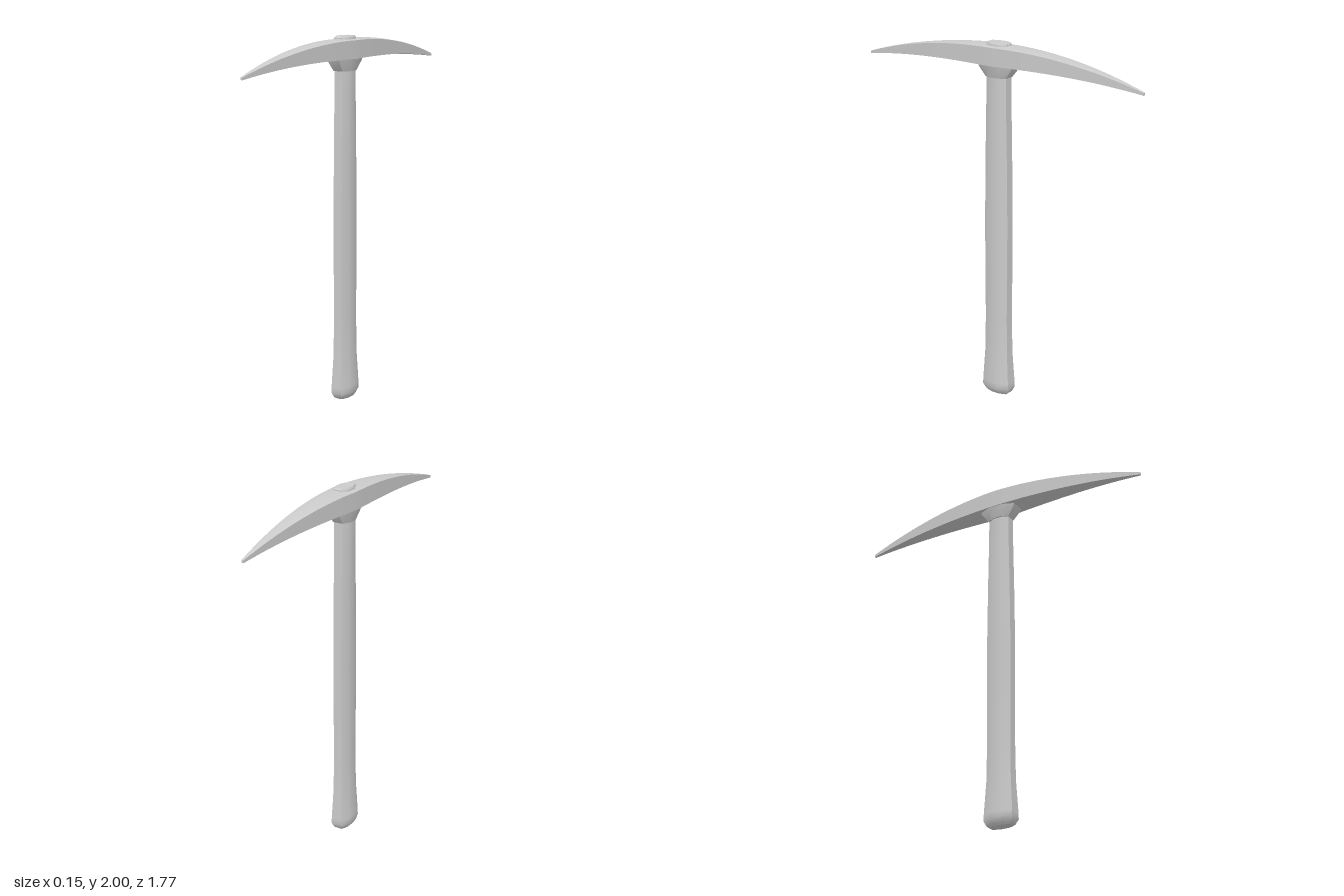
import * as THREE from 'three';
import { toCreasedNormals } from 'three/addons/utils/BufferGeometryUtils.js';

const material = new THREE.MeshStandardMaterial({ color: 0xcccccc });

// Skin a row of rings (counterclockwise about the direction of travel) and cap both ends
function loft(name, rings, creaseDegrees) {
  const n = rings[0].length, index = [];
  for (let i = 0; i < rings.length - 1; i++) {
    for (let j = 0; j < n; j++) {
      const a = i * n + j, b = i * n + (j + 1) % n;
      index.push(a, b, b + n, a, b + n, a + n);
    }
  }
  const last = (rings.length - 1) * n;
  for (let j = 1; j < n - 1; j++) {
    index.push(0, j + 1, j, last, last + j, last + j + 1);
  }
  const geometry = new THREE.BufferGeometry();
  geometry.setAttribute('position', new THREE.Float32BufferAttribute(rings.flat(2), 3));
  geometry.setIndex(index);
  const mesh = new THREE.Mesh(toCreasedNormals(geometry, THREE.MathUtils.degToRad(creaseDegrees)), material);
  mesh.name = name;
  return mesh;
}

// Long octagon as [z, x] factors of the half depth and half width
const octagon = [[1, -0.58], [1, 0.58], [0.4, 1], [-0.4, 1], [-1, 0.58], [-1, -0.58], [-0.4, -1], [0.4, -1]];
const upright = (name, levels, crease) => loft(name,
  levels.map(([y, hx, hz]) => octagon.map(([u, v]) => [v * hx, y, u * hz])), crease);

export function createModel() {
  const model = new THREE.Group();
  model.name = 'pickaxe';

  // Handle: flared, bevelled foot and a slight swell at mid height [y, half width, half depth]
  model.add(upright('handle', [
    [0, 0.034, 0.064], [0.008, 0.04, 0.074], [0.035, 0.056, 0.087], [0.07, 0.055, 0.086],
    [0.25, 0.045, 0.075], [0.45, 0.043, 0.072], [1.0, 0.043, 0.075], [1.4, 0.043, 0.07],
    [1.7, 0.043, 0.064], [1.9, 0.043, 0.063],
  ], 40));

  // Handle end showing above the head
  model.add(upright('handleTop', [
    [1.95, 0.043, 0.066], [1.991, 0.043, 0.066], [2.0, 0.037, 0.058],
  ], 40));

  // Flared collar below the head
  model.add(upright('collar', [
    [1.815, 0.05, 0.066], [1.865, 0.064, 0.104], [1.89, 0.07, 0.112],
  ], 50));

  // Curved head: wide at the eye, tapering to a blunt point at each end
  const halfLength = 0.884, steps = 32, rings = [];
  for (let i = 0; i <= steps; i++) {
    const s = (i / steps) * 2 - 1, t = Math.abs(s);
    const w = 0.006 + 0.067 * (1 - t ** 1.25);
    const top = 1.988 - 0.14 * t * t;
    const bottom = 1.88 - 0.046 * t ** 2.5;
    const crown = 0.01 * (1 - t), keel = 0.008 * t * (1 - t) * 2;
    rings.push([
      [0, bottom, s * halfLength], [w, bottom + keel, s * halfLength],
      [w, top - crown, s * halfLength], [0, top, s * halfLength],
      [-w, top - crown, s * halfLength], [-w, bottom + keel, s * halfLength],
    ]);
  }
  model.add(loft('head', rings, 35));

  return model;
}
